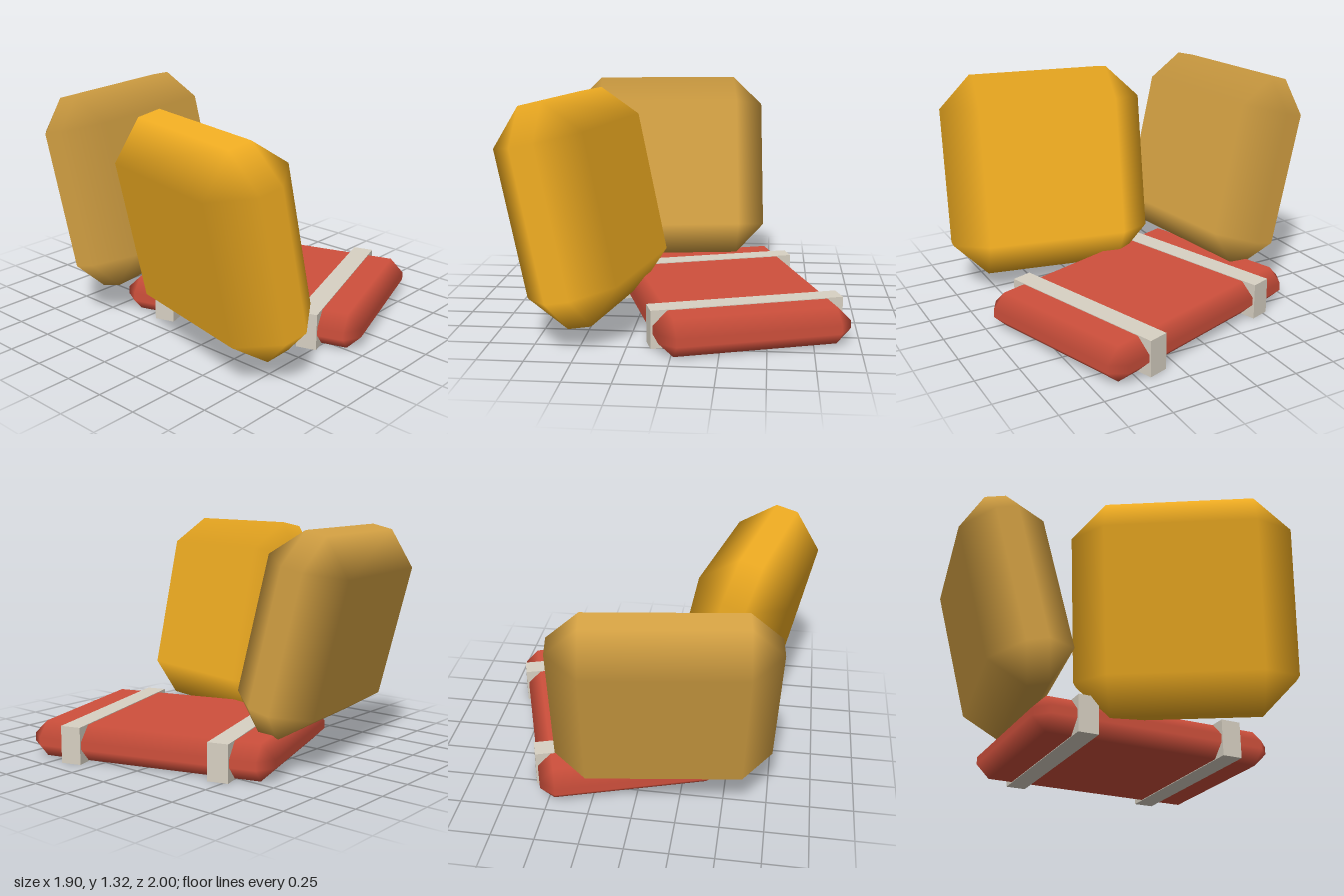
import * as THREE from 'three';
import { ConvexGeometry } from 'three/addons/geometries/ConvexGeometry.js';

const rad = THREE.MathUtils.degToRad;
const material = (color) => new THREE.MeshStandardMaterial({ color });

// Box with 45 degree chamfers, shaded softly from face to face.
// hx, hy, hz are half sizes, c is the chamfer.
function softBox(hx, hy, hz, c) {
  const h = [hx, hy, hz];
  const points = [];
  for (const sx of [-1, 1]) for (const sy of [-1, 1]) for (const sz of [-1, 1]) {
    for (let axis = 0; axis < 3; axis++) {
      const p = [sx, sy, sz].map((s, i) => s * (i === axis ? h[i] : h[i] - c));
      points.push(new THREE.Vector3(...p));
    }
  }
  const geometry = new ConvexGeometry(points);
  // Each corner takes the normal of the flat side it lies on
  const pos = geometry.attributes.position;
  const normal = geometry.attributes.normal;
  for (let i = 0; i < pos.count; i++) {
    const p = [pos.getX(i), pos.getY(i), pos.getZ(i)];
    normal.setXYZ(i, ...p.map((v, k) => (Math.abs(v) > h[k] - 0.001 ? Math.sign(v) : 0)));
  }
  return geometry;
}

function addMesh(parent, name, geometry, mat, position) {
  const mesh = new THREE.Mesh(geometry, mat);
  mesh.name = name;
  mesh.position.set(...position);
  parent.add(mesh);
  return mesh;
}

export function createModel() {
  const model = new THREE.Group();
  model.name = 'cushions';

  // Flat floor cushion with two straps
  const floor = new THREE.Group();
  floor.name = 'floorCushion';
  floor.position.set(0.242, 0, 0.121);
  floor.rotation.y = rad(18);
  model.add(floor);
  addMesh(floor, 'pad', softBox(0.531, 0.103, 0.735, 0.08), material(0xcf503c), [0, 0.107, 0]);
  const strapMaterial = material(0xd8d1c3);
  for (const side of [-1, 1]) {
    addMesh(floor, side > 0 ? 'frontStrap' : 'backStrap',
      new THREE.BoxGeometry(1.085, 0.214, 0.12), strapMaterial, [0, 0.107, side * 0.446]);
  }

  // Upright cushion at the side, leaning outwards
  const sideCushion = addMesh(model, 'sideCushion',
    softBox(0.263, 0.605, 0.607, 0.195), material(0xf2ae22), [-0.53, 0.71, 0.37]);
  sideCushion.rotation.set(0, rad(-12), rad(12), 'YXZ');

  // Upright cushion at the back, leaning backwards
  const backCushion = addMesh(model, 'backCushion',
    softBox(0.61, 0.573, 0.241, 0.18), material(0xd4a143), [-0.165, 0.75, -0.615]);
  backCushion.rotation.set(rad(-14), rad(8), 0, 'YXZ');

  return model;
}
